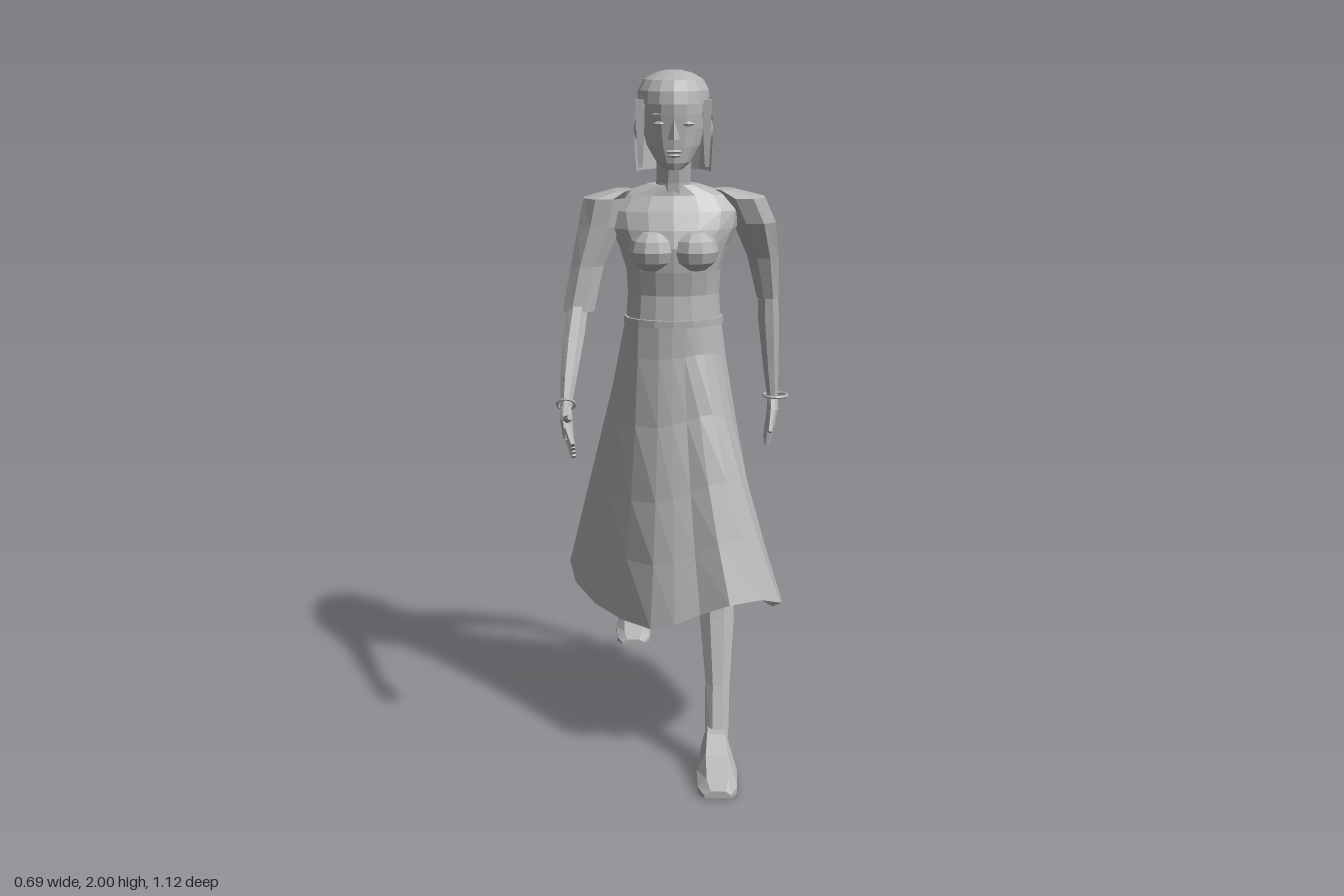
import * as THREE from 'three';

const grey = new THREE.MeshStandardMaterial({ color: 0xb4b4b4, flatShading: true, side: THREE.DoubleSide });
grey.name = 'plain grey';
const CX = -0.01; // slight lean of the body axis

// Skin a series of equal-length point rings; turns the faces outward when capped.
function loft(rings, { closed = true, caps = true } = {}) {
  const n = rings[0].length, pos = rings.flat(2), idx = [];
  for (let r = 0; r < rings.length - 1; r++)
    for (let i = 0; i < (closed ? n : n - 1); i++) {
      const a = r * n + i, b = r * n + (i + 1) % n;
      idx.push(a, a + n, b, b, a + n, b + n);
    }
  if (caps) [0, rings.length - 1].forEach((r) => {
    const c = pos.length / 3;
    for (let k = 0; k < 3; k++) pos.push(rings[r].reduce((s, p) => s + p[k], 0) / n);
    for (let i = 0; i < n; i++) {
      const a = r * n + i, b = r * n + (i + 1) % n;
      idx.push(c, r ? b : a, r ? a : b);
    }
  });
  const at = (i) => new THREE.Vector3().fromArray(pos, i * 3);
  const origin = at(0);
  let volume = 0;
  for (let i = 0; i < idx.length; i += 3) {
    const [a, b, c] = [0, 1, 2].map((k) => at(idx[i + k]).sub(origin));
    volume += a.dot(b.cross(c));
  }
  if (volume < 0) idx.reverse();
  const g = new THREE.BufferGeometry();
  g.setAttribute('position', new THREE.Float32BufferAttribute(pos, 3));
  g.setIndex(idx);
  const flat = g.toNonIndexed();
  flat.computeVertexNormals();
  return flat;
}

// Horizontal ring from a row: y, half width, front z, back z.
const bodyRing = ([y, rx, zf, zb], n = 16, from = 0, span = Math.PI * 2, closed = true) =>
  Array.from({ length: n }, (_, i) => {
    const a = from + span * i / (closed ? n : n - 1);
    return [CX + rx * Math.cos(a), y, (zf + zb) / 2 + (zf - zb) / 2 * Math.sin(a)];
  });
// Limb from rows: x, y, z, half width, half depth.
const limb = (rows, n = 8) => loft(rows.map(([x, y, z, rx, rz]) =>
  Array.from({ length: n }, (_, i) => {
    const a = (i + 0.5) / n * Math.PI * 2;
    return [x + rx * Math.cos(a), y, z + rz * Math.sin(a)];
  })));
// Foot from rows: z, half width, sole y, top y.
const foot = (cx, rows) => loft(rows.map(([z, w, b, t]) =>
  [[-1, 0], [1, 0], [1, 0.45], [0.55, 1], [-0.55, 1], [-1, 0.45]].map(([u, v]) => [cx + u * w, b + v * (t - b), z])));
// Tapered finger between two points.
function finger(a, b, r0, r1) {
  const A = new THREE.Vector3(...a), d = new THREE.Vector3(...b).sub(A);
  const g = new THREE.CylinderGeometry(r1, r0, d.length(), 6);
  g.applyQuaternion(new THREE.Quaternion().setFromUnitVectors(new THREE.Vector3(0, 1, 0), d.clone().normalize()));
  return g.translate(...A.addScaledVector(d, 0.5).toArray());
}
const blob = (x, y, z, sx, sy, sz, w = 10, h = 6) =>
  new THREE.SphereGeometry(1, w, h).scale(sx, sy, sz).translate(x, y, z);

export function createModel() {
  const model = new THREE.Group();
  const add = (name, geometry) => {
    const m = new THREE.Mesh(geometry, grey);
    m.name = name;
    model.add(m);
    return m;
  };

  // Skirt: waist ellipse blended to an uneven striding hem
  const hem = [
    [0.31, 0.46, 0.206], [0.295, 0.50, 0.32], [0.235, 0.54, 0.41], [0.146, 0.525, 0.415], [0.063, 0.48, 0.367],
    [-0.01, 0.445, 0.355], [-0.08, 0.42, 0.32], [-0.165, 0.405, 0.2], [-0.25, 0.41, 0.07], [-0.315, 0.435, -0.06],
    [-0.337, 0.46, -0.19], [-0.316, 0.46, -0.30], [-0.26, 0.45, -0.37], [-0.19, 0.44, -0.375], [-0.095, 0.435, -0.41],
    [-0.01, 0.425, -0.397], [0.09, 0.405, -0.33], [0.167, 0.395, -0.263], [0.21, 0.385, -0.13], [0.29, 0.40, 0.08]];
  add('skirt', loft([0, 0.12, 0.35, 0.6, 0.8, 1].map((t) => hem.map(([x, y, z]) => {
    const a = Math.atan2(z / 0.41, x / 0.32);
    const f = Math.pow(t, 1 + 0.8 * Math.max(0, Math.sin(a)));
    const wx = CX + 0.143 * Math.cos(a), wz = 0.02 + 0.105 * Math.sin(a);
    return [wx + (x - wx) * f, 1.28 + (y - 1.28) * t, wz + (z - wz) * f];
  })), { caps: false }));
  add('waistband', loft([[1.268, 0.146, 0.13, -0.09], [1.29, 0.146, 0.13, -0.09]].map((r) => bodyRing(r))));

  // Torso, bust and neck
  add('bodice', loft([
    [1.27, 0.14, 0.122, -0.083], [1.36, 0.134, 0.112, -0.075], [1.43, 0.138, 0.125, -0.082], [1.5, 0.16, 0.13, -0.1],
    [1.55, 0.185, 0.115, -0.105], [1.6, 0.195, 0.09, -0.1], [1.645, 0.165, 0.06, -0.088], [1.675, 0.075, 0.055, -0.06],
  ].map((r) => bodyRing(r))));
  for (const s of [-1, 1]) add('bust', blob(CX + s * 0.062, 1.49, 0.09, 0.068, 0.062, 0.068));
  add('neck', loft([[1.63, 0.06, 0.06, -0.05], [1.68, 0.05, 0.06, -0.035], [1.77, 0.048, 0.075, -0.02]].map((r) => bodyRing(r, 10))));

  // Sleeves
  add('leftSleeve', limb([[0.14, 1.658, -0.015, 0.03, 0.055], [0.195, 1.635, -0.015, 0.068, 0.07],
    [0.228, 1.56, -0.03, 0.068, 0.066], [0.258, 1.45, -0.08, 0.05, 0.055], [0.277, 1.32, -0.125, 0.036, 0.05]]));
  add('rightSleeve', limb([[-0.16, 1.658, 0, 0.03, 0.055], [-0.21, 1.635, 0, 0.066, 0.07],
    [-0.225, 1.555, 0.005, 0.068, 0.066], [-0.262, 1.44, 0.02, 0.052, 0.056], [-0.288, 1.31, 0.045, 0.05, 0.052]]));

  // Forearms
  add('leftForearm', limb([[0.277, 1.36, -0.125, 0.03, 0.035], [0.281, 1.25, -0.135, 0.034, 0.036],
    [0.29, 1.1, -0.143, 0.025, 0.028], [0.297, 1.0, -0.145, 0.017, 0.022]]));
  add('rightForearm', limb([[-0.288, 1.34, 0.045, 0.032, 0.04], [-0.3, 1.25, 0.1, 0.034, 0.048],
    [-0.311, 1.15, 0.19, 0.026, 0.042], [-0.318, 1.07, 0.26, 0.017, 0.028]]));

  // Hands
  add('leftPalm', limb([[0.297, 1.01, -0.145, 0.015, 0.02], [0.297, 0.97, -0.135, 0.018, 0.042], [0.29, 0.915, -0.135, 0.015, 0.043]]));
  add('rightPalm', limb([[-0.318, 1.08, 0.255, 0.015, 0.02], [-0.316, 1.045, 0.295, 0.018, 0.04], [-0.308, 1.0, 0.33, 0.016, 0.042]]));
  for (let i = 0; i < 4; i++) {
    const u = i / 3, drop = 0.012 * Math.sin(u * Math.PI);
    add('leftFinger', finger([0.29, 0.93, -0.172 + 0.07 * u], [0.278, 0.865 - drop, -0.174 + 0.074 * u], 0.012, 0.008));
    add('rightFinger', finger([-0.31, 0.995 + 0.03 * u, 0.315 + 0.035 * u], [-0.294, 0.945 + 0.045 * u, 0.35 + 0.045 * u], 0.012, 0.008));
  }
  add('leftThumb', finger([0.295, 0.97, -0.105], [0.285, 0.91, -0.068], 0.013, 0.008));
  add('rightThumb', finger([-0.314, 1.045, 0.315], [-0.3, 1.068, 0.385], 0.013, 0.008));

  // Bracelets
  add('leftBracelet', new THREE.TorusGeometry(0.036, 0.005, 6, 16).rotateX(Math.PI / 2).translate(0.305, 1.01, -0.14));
  add('rightBracelet', new THREE.TorusGeometry(0.026, 0.004, 6, 12).rotateX(0.75).translate(-0.318, 1.075, 0.255));

  // Legs and feet
  add('leftLeg', limb([[0.07, 1.12, 0.01, 0.06, 0.07], [0.1, 0.75, 0.14, 0.06, 0.062], [0.112, 0.55, 0.2, 0.052, 0.052],
    [0.115, 0.43, 0.23, 0.054, 0.053], [0.116, 0.25, 0.297, 0.038, 0.038], [0.112, 0.09, 0.35, 0.036, 0.042]]));
  add('rightLeg', limb([[-0.08, 1.12, 0, 0.06, 0.07], [-0.12, 0.65, -0.11, 0.055, 0.07], [-0.13, 0.48, -0.24, 0.05, 0.075],
    [-0.135, 0.38, -0.325, 0.045, 0.075], [-0.138, 0.25, -0.455, 0.037, 0.055], [-0.14, 0.18, -0.5, 0.036, 0.045]]));
  add('leftFoot', foot(0.11, [[0.31, 0.035, 0, 0.1], [0.335, 0.042, 0, 0.14], [0.395, 0.048, 0, 0.125],
    [0.45, 0.058, 0, 0.085], [0.52, 0.056, 0, 0.045], [0.56, 0.038, 0.004, 0.025]]));
  add('rightFoot', foot(-0.14, [[-0.56, 0.035, 0.14, 0.2], [-0.53, 0.045, 0.133, 0.235], [-0.46, 0.05, 0.133, 0.225],
    [-0.4, 0.057, 0.133, 0.19], [-0.33, 0.053, 0.133, 0.165], [-0.295, 0.036, 0.136, 0.15]]));

  // Head and face
  add('head', loft([[1.725, 0.025, 0.13, 0.05], [1.745, 0.05, 0.138, 0.01], [1.79, 0.077, 0.142, -0.05],
    [1.84, 0.09, 0.145, -0.08], [1.88, 0.093, 0.148, -0.085], [1.93, 0.09, 0.15, -0.085], [1.97, 0.07, 0.11, -0.06]].map((r) => bodyRing(r))));
  add('nose', new THREE.ConeGeometry(0.017, 0.065, 4).scale(1, 1, 1.3).translate(CX, 1.845, 0.144));
  add('upperLip', blob(CX, 1.778, 0.139, 0.024, 0.006, 0.009, 8, 4));
  add('lowerLip', blob(CX, 1.766, 0.136, 0.019, 0.006, 0.009, 8, 4));
  for (const s of [-1, 1]) {
    add('eye', blob(CX + s * 0.038, 1.855, 0.133, 0.02, 0.008, 0.009, 8, 4));
    add('eyebrow', new THREE.BoxGeometry(0.042, 0.005, 0.009).rotateY(s * 0.3).translate(CX + s * 0.038, 1.882, 0.137));
    add('ear', blob(CX + s * 0.1, 1.835, 0.03, 0.014, 0.036, 0.022, 8, 6));
    // Front locks beside the face
    add('frontLock', loft([[1.73, 0.006], [1.8, 0.01], [1.92, 0.014]].map(([y, w]) =>
      [[-w, -w], [w, -w], [w, w], [-w, w]].map(([u, v]) => [CX + s * 0.095 + u, y, 0.085 + v]))));
  }

  // Hair: cap with fringe, and a bob behind the ears
  add('hairCap', loft([[1.91, 0.104, 0.16, -0.105], [1.945, 0.102, 0.152, -0.104], [1.975, 0.085, 0.125, -0.085],
    [1.992, 0.055, 0.09, -0.05], [2.0, 0.025, 0.05, -0.01]].map((r) => bodyRing(r))));
  add('hairBack', loft([[1.71, 0.108, 0.13, -0.1], [1.78, 0.112, 0.135, -0.105], [1.86, 0.113, 0.14, -0.107],
    [1.925, 0.104, 0.15, -0.106]].map((r) => bodyRing(r, 13, Math.PI - 0.02, Math.PI + 0.04, false)), { closed: false, caps: false }));
  return model;
}
